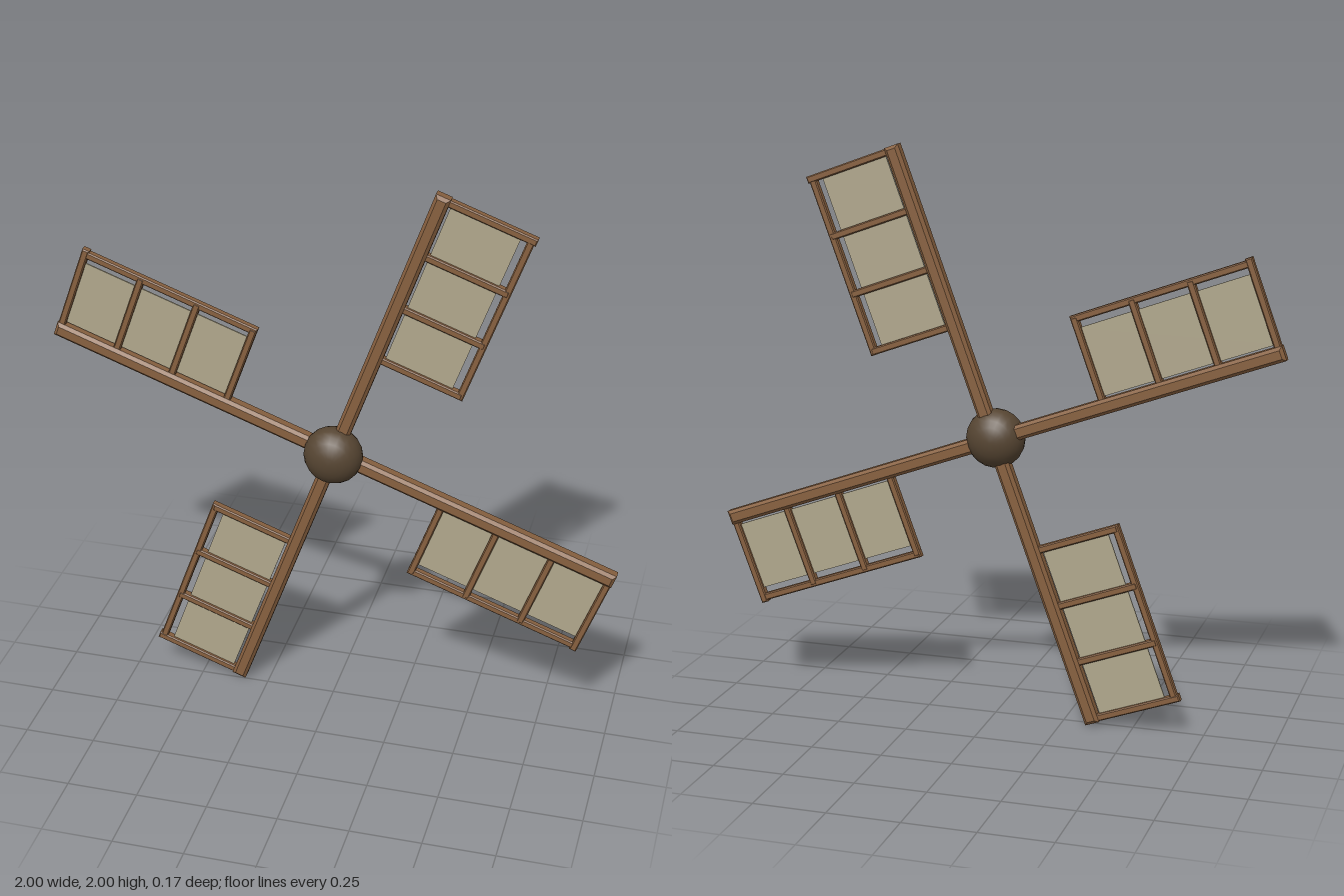
import * as THREE from 'three';

const wood = new THREE.MeshStandardMaterial({ color: 0x87603f });
wood.name = 'wood';
const canvas = new THREE.MeshStandardMaterial({ color: 0xb0a78c });
canvas.name = 'canvas';
const darkWood = new THREE.MeshStandardMaterial({ color: 0x564532 });
darkWood.name = 'darkWood';

// Chamfered beam spanning x0..x1, y0..y1, centred on z = 0
function beam(name, x0, x1, y0, y1, depth, chamfer) {
  const c = chamfer;
  const shape = new THREE.Shape();
  shape.moveTo(x0 + c, y0 + c);
  shape.lineTo(x1 - c, y0 + c);
  shape.lineTo(x1 - c, y1 - c);
  shape.lineTo(x0 + c, y1 - c);
  shape.closePath();
  const geometry = new THREE.ExtrudeGeometry(shape, {
    depth: depth - 2 * c, bevelEnabled: true, bevelThickness: c, bevelSize: c, bevelSegments: 1,
  });
  geometry.translate(0, 0, -depth / 2 + c);
  const mesh = new THREE.Mesh(geometry, wood);
  mesh.name = name;
  return mesh;
}

// One blade pointing up, with its lattice on the +x side
function createBlade() {
  const blade = new THREE.Group();
  blade.name = 'blade';
  blade.add(beam('arm', -0.026, 0.026, 0, 1.055, 0.052, 0.011));
  blade.add(beam('outerRail', 0.3, 0.325, 0.4, 1.052, 0.028, 0.004));

  // Cross bars, the outermost one sticking out slightly
  [0.413, 0.622, 0.831, 1.04].forEach((y, i) => {
    const end = i === 3 ? 0.331 : 0.318;
    blade.add(beam('crossBar', 0, end, y - 0.0125, y + 0.0125, 0.03, 0.004));
  });

  // Cloth between the bars, leaving narrow gaps beside the arm and rail
  const cloth = new THREE.Mesh(new THREE.BoxGeometry(0.245, 0.627, 0.005), canvas);
  cloth.name = 'sailCloth';
  cloth.position.set(0.156, 0.7265, 0);
  blade.add(cloth);
  return blade;
}

export function createModel() {
  const model = new THREE.Group();
  model.name = 'windmillSails';

  // Flattened hub with its poles along the axle
  const hub = new THREE.Mesh(new THREE.SphereGeometry(0.104, 20, 12), darkWood);
  hub.name = 'hub';
  hub.rotation.x = Math.PI / 2;
  hub.scale.y = 0.8;
  hub.position.y = 1;
  model.add(hub);

  // Four blades around the hub
  for (let i = 0; i < 4; i++) {
    const blade = createBlade();
    blade.position.set(0, 1, -0.016);
    blade.rotation.z = -THREE.MathUtils.degToRad(20 + 90 * i);
    model.add(blade);
  }
  return model;
}
